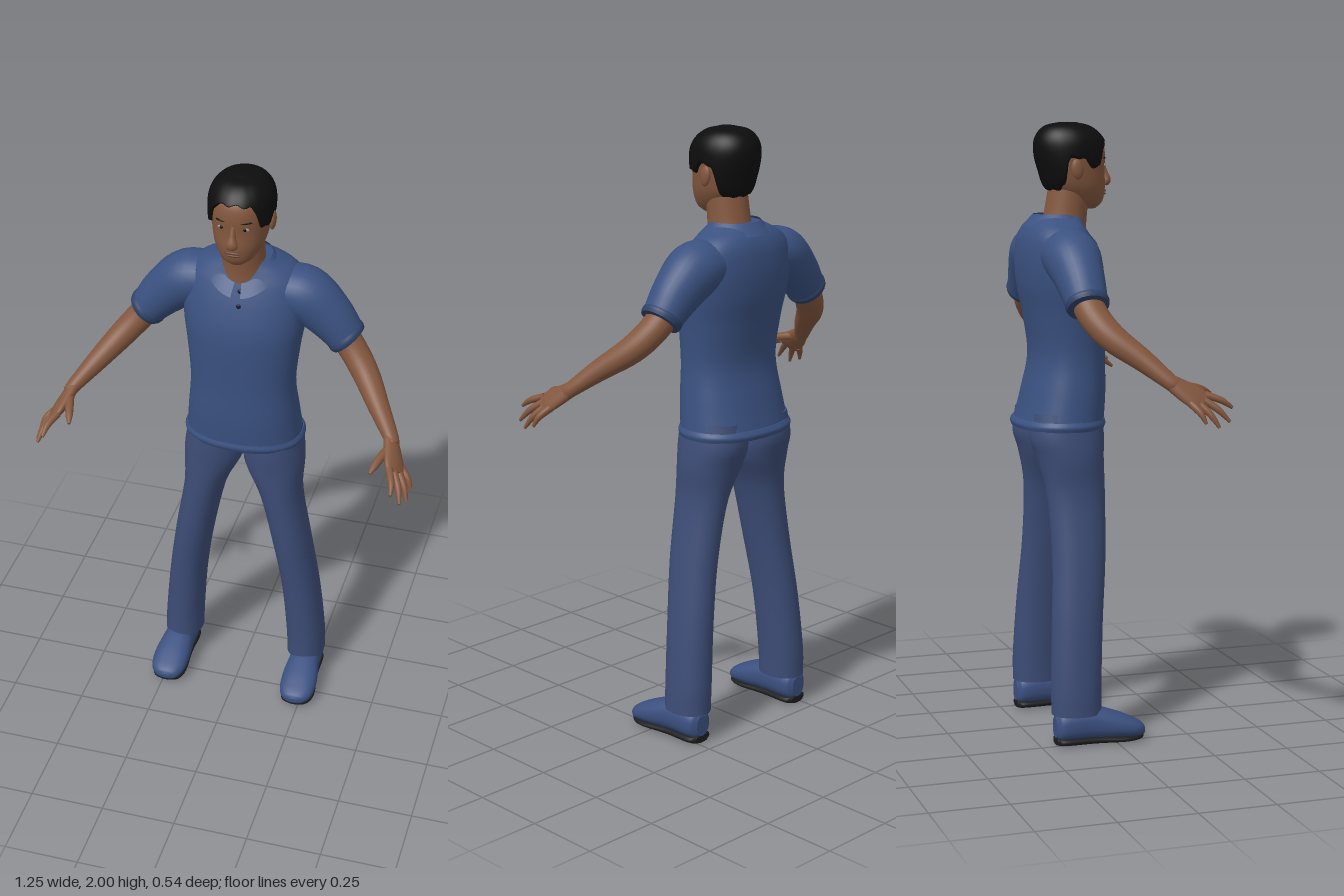
import * as THREE from 'three';

const V = (x, y, z) => new THREE.Vector3(x, y, z);
const UP = V(0, 1, 0), SIDE = V(1, 0, 0);

const makeMaterials = () => {
  const make = (name, color, side = THREE.FrontSide) => {
    const m = new THREE.MeshStandardMaterial({ color, side });
    m.name = name;
    return m;
  };
  return {
    shirt: make('shirt blue', 0x3a5180, THREE.DoubleSide),
    trim: make('trim navy', 0x2f4369),
    trousers: make('trouser blue', 0x3d4d77),
    shoe: make('shoe blue', 0x3b5080),
    sole: make('sole dark', 0x1c1d20),
    skin: make('skin brown', 0x83573e),
    lip: make('lip brown', 0x68402f),
    hair: make('hair black', 0x0d0d0d, THREE.DoubleSide),
    eye: make('eye grey', 0x9a938c),
  };
};

// Grid of rows around a section; fn(angle, t) gives each point
function surface(fn, nu, nv, closed = true, caps = false) {
  const pos = [], idx = [];
  const cols = closed ? nu : nu + 1;
  const rows = [];
  for (let i = 0; i <= nv; i++) {
    const row = [];
    for (let j = 0; j < cols; j++) row.push(fn((j / nu) * Math.PI * 2, i / nv));
    rows.push(row);
    row.forEach(p => pos.push(p.x, p.y, p.z));
  }
  for (let i = 0; i < nv; i++) for (let j = 0; j < nu; j++) {
    const k = (j + 1) % cols;
    const a = i * cols + j, b = i * cols + k, c = a + cols, d = b + cols;
    idx.push(a, b, c, b, d, c);
  }
  if (caps) [0, nv].forEach(i => {
    const start = pos.length / 3, mid = V(0, 0, 0);
    rows[i].forEach(p => { pos.push(p.x, p.y, p.z); mid.addScaledVector(p, 1 / cols); });
    pos.push(mid.x, mid.y, mid.z);
    for (let j = 0; j < cols; j++) {
      const a = start + j, b = start + (j + 1) % cols;
      if (i === 0) idx.push(b, a, start + cols); else idx.push(a, b, start + cols);
    }
  });
  const g = new THREE.BufferGeometry();
  g.setAttribute('position', new THREE.Float32BufferAttribute(pos, 3));
  g.setIndex(idx);
  g.computeVertexNormals();
  return g;
}

// Smoothly resample stations [x, y, z, radiusU, radiusV]
function sample(stations, n = (stations.length - 1) * 5) {
  const path = new THREE.CatmullRomCurve3(stations.map(s => V(s[0], s[1], s[2])), false, 'catmullrom');
  const size = new THREE.CatmullRomCurve3(stations.map(s => V(s[3], s[4], 0)), false, 'catmullrom');
  return Array.from({ length: n + 1 }, (_, i) => {
    const r = size.getPoint(i / n);
    return { p: path.getPoint(i / n), t: path.getTangent(i / n), ru: r.x, rv: r.y };
  });
}

// Skin elliptical sections along the stations; a fixed axis keeps sections parallel
function loft(stations, { axis, ref = SIDE, power = 1, segs = 28 } = {}) {
  const rings = sample(stations), n = rings.length - 1;
  const bend = c => Math.sign(c) * Math.abs(c) ** power;
  return surface((a, t) => {
    const r = rings[Math.round(t * n)], T = axis || r.t;
    const u = ref.clone().addScaledVector(T, -ref.dot(T)).normalize();
    const v = T.clone().cross(u);
    return r.p.clone().addScaledVector(u, r.ru * bend(Math.cos(a))).addScaledVector(v, r.rv * bend(Math.sin(a)));
  }, segs, n, true, true);
}

// Section of a sampled upright body at height y
function sectionAt(rings, y) {
  let i = 1;
  while (i < rings.length - 1 && rings[i].p.y < y) i++;
  const a = rings[i - 1], b = rings[i];
  const k = THREE.MathUtils.clamp((y - a.p.y) / (b.p.y - a.p.y), 0, 1), mix = THREE.MathUtils.lerp;
  return { z: mix(a.p.z, b.p.z, k), rx: mix(a.ru, b.ru, k), rz: mix(a.rv, b.rv, k) };
}
function frontZ(rings, x, y) {
  const s = sectionAt(rings, y);
  return s.z + s.rz * Math.sqrt(Math.max(0, 1 - (x / s.rx) ** 2));
}

const TORSO = [[0, 1.02, -.118, .196, .14], [0, 1.13, -.1, .185, .13], [0, 1.25, -.088, .174, .118],
  [0, 1.38, -.094, .185, .128], [0, 1.47, -.105, .198, .135], [0, 1.55, -.118, .203, .128],
  [0, 1.62, -.128, .193, .112], [0, 1.66, -.13, .16, .096], [0, 1.685, -.125, .115, .082], [0, 1.7, -.115, .085, .068]];
const HEAD = [[0, 1.722, -.008, .022, .02], [0, 1.745, -.028, .055, .062], [0, 1.79, -.052, .08, .094],
  [0, 1.84, -.063, .09, .103], [0, 1.89, -.069, .094, .111], [0, 1.93, -.073, .092, .108],
  [0, 1.96, -.077, .078, .09], [0, 1.98, -.08, .052, .06], [0, 1.988, -.08, .012, .015]];
// Hairline height against angle from the face, in degrees
const HAIRLINE = [[0, 1.94], [32, 1.935], [45, 1.905], [55, 1.855], [72, 1.85], [82, 1.885], [108, 1.88], [122, 1.8], [140, 1.775], [180, 1.77]];

function hairline(deg) {
  const i = Math.max(1, HAIRLINE.findIndex(h => h[0] >= deg));
  const [a, b] = [HAIRLINE[i - 1], HAIRLINE[i]];
  return THREE.MathUtils.lerp(a[1], b[1], (deg - a[0]) / (b[0] - a[0]));
}

export function createModel() {
  const mat = makeMaterials(), model = new THREE.Group();
  model.name = 'standingMan';
  const add = (name, geometry, material, parent = model) => {
    const m = new THREE.Mesh(geometry, material);
    m.name = name;
    parent.add(m);
    return m;
  };
  const blob = (name, material, p, s) => {
    const m = add(name, new THREE.SphereGeometry(1, 16, 12), material);
    m.position.set(...p);
    m.scale.set(...s);
    return m;
  };
  const torso = sample(TORSO, 80), head = sample(HEAD, 80);

  // Shirt body, hem and collar
  add('shirtBody', loft(TORSO, { axis: UP, power: .88, segs: 48 }), mat.shirt);
  add('shirtHem', loft([[0, 1.015, -.119, .199, .142], [0, 1.03, -.118, .203, .147], [0, 1.045, -.115, .196, .141]],
    { axis: UP, power: .88, segs: 48 }), mat.shirt);
  add('collar', surface((a, t) => {
    const th = .13 + a * (1 - .13 / Math.PI), f = Math.max(0, Math.cos(th));
    const r = THREE.MathUtils.lerp(.122, .088, t);
    const y = THREE.MathUtils.lerp(1.668, 1.706, t) - .068 * f ** 1.5;
    return V(r * Math.sin(th), y, -.108 + r * Math.cos(th));
  }, 48, 4, false), mat.shirt);

  // Placket and buttons
  add('placket', surface((a, t) => {
    const x = -.016 + a / (Math.PI * 2) * .04, y = 1.53 + t * .09;
    return V(x, y, frontZ(torso, x, y) + .004);
  }, 3, 8, false), mat.shirt);
  [1.615, 1.57].forEach(y => blob('button', mat.sole, [.01, y, frontZ(torso, .01, y) + .006], [.008, .008, .004]));

  // Neck, head, ears, nose and mouth
  add('neck', loft([[0, 1.6, -.1, .09, .08], [0, 1.65, -.098, .078, .076], [0, 1.7, -.09, .07, .071], [0, 1.8, -.075, .068, .068]],
    { axis: UP }), mat.skin);
  add('head', loft(HEAD, { axis: UP, power: .95, segs: 36 }), mat.skin);
  add('nose', loft([[0, 1.872, .034, .007, .008], [0, 1.838, .043, .011, .012], [0, 1.812, .05, .019, .015], [0, 1.801, .043, .014, .01]]), mat.skin);
  [1.779, 1.77].forEach(y => blob('lip', mat.lip, [0, y, frontZ(head, 0, y) - .001], [.026, .005, .006]));
  for (const s of [1, -1]) {
    const spot = (x, y, d) => [s * x, y, frontZ(head, x, y) + d];
    blob('ear', mat.skin, [s * .096, 1.85, -.078], [.011, .033, .02]).rotation.x = -.15;
    blob('eye', mat.eye, spot(.037, 1.863, -.001), [.014, .006, .004]);
    blob('iris', mat.hair, spot(.037, 1.863, .001), [.006, .006, .004]);
    blob('eyebrow', mat.hair, spot(.039, 1.885, -.002), [.021, .0035, .005]).rotation.y = s * .35;
  }

  // Hair cap with a low nape and sideburns
  add('hair', surface((a, t) => {
    const deg = Math.min(a, Math.PI * 2 - a) * 180 / Math.PI;
    const rim = hairline(deg) + .004 * Math.sin(a * 13);
    const y = rim + (1.988 - rim) * Math.sin(t * Math.PI / 2);
    const s = sectionAt(head, y), off = t === 0 ? -.004 : .012, k = t === 1 ? 0 : 1;
    return V(k * (s.rx + off) * Math.sin(a), y + .012 * t, s.z + k * (s.rz + off) * Math.cos(a));
  }, 72, 24), mat.hair);

  for (const s of [1, -1]) {
    const side = s > 0 ? 'left' : 'right';
    const limb = (name, stations, material, options) =>
      add(side + name, loft(stations.map(([x, ...rest]) => [s * x, ...rest]), options), material);

    // Sleeve and forearm
    const back = { ref: V(0, 0, 1) };
    limb('Sleeve', [[.1, 1.585, -.128, .085, .07], [.19, 1.572, -.127, .092, .09], [.27, 1.508, -.125, .078, .08],
      [.335, 1.434, -.122, .066, .062]], mat.shirt, back);
    limb('Cuff', [[.322, 1.449, -.122, .068, .064], [.331, 1.439, -.122, .071, .067], [.34, 1.429, -.122, .067, .063]], mat.trim, back);
    limb('Arm', [[.29, 1.48, -.123, .05, .05], [.35, 1.41, -.112, .05, .046], [.41, 1.343, -.07, .046, .043],
      [.475, 1.275, .01, .036, .034], [.53, 1.215, .075, .027, .024], [.54, 1.2, .095, .027, .022]], mat.skin, back);

    // Hand: palm, four fingers and thumb
    const spread = V(.045, -.04, -.1).normalize();
    const across = V(s * spread.x, spread.y, spread.z);
    limb('Palm', [[.525, 1.222, .065, .022, .02], [.543, 1.192, .108, .035, .02], [.56, 1.165, .15, .043, .018],
      [.57, 1.15, .175, .04, .012]], mat.skin, { ref: across });
    const tips = [[.575, 1.13, .268], [.602, 1.09, .25], [.617, 1.075, .21], [.62, 1.09, .165]];
    tips.forEach((tip, i) => {
      const base = V(.563, 1.16, .158).addScaledVector(spread, -.032 + i * .0215);
      const mid = base.clone().lerp(V(...tip), .55).add(V(.005, .005, .002));
      limb('Finger' + (i + 1), [[...base.toArray(), .012, .013], [...mid.toArray(), .0105, .011], [...tip, .005, .005]],
        mat.skin, { ref: across, segs: 12 });
    });
    limb('Thumb', [[.54, 1.2, .1, .016, .018], [.518, 1.19, .16, .014, .014], [.507, 1.18, .195, .012, .012], [.497, 1.168, .225, .005, .005]],
      mat.skin, { ref: UP, segs: 12 });

    // Trouser leg
    limb('TrouserLeg', [[.226, .1, -.125, .066, .082], [.222, .2, -.125, .066, .083], [.203, .4, -.115, .064, .084],
      [.172, .6, -.1, .065, .088], [.133, .8, -.097, .071, .096], [.106, .92, -.108, .1, .11],
      [.1, .99, -.117, .1, .122], [.096, 1.07, -.115, .09, .115]], mat.trousers, { axis: UP, power: .94 });

    // Shoe and sole
    const along = { axis: V(0, 0, 1), power: .85 };
    limb('Shoe', [[.232, .06, -.2, .025, .035], [.232, .064, -.175, .048, .05], [.233, .068, -.08, .053, .054],
      [.236, .056, 0, .062, .043], [.237, .043, .06, .059, .03], [.236, .035, .092, .04, .02], [.235, .033, .102, .014, .008]], mat.shoe, along);
    limb('Sole', [[.232, .014, -.198, .028, .013], [.232, .015, -.175, .048, .015], [.234, .015, -.07, .049, .015],
      [.237, .013, .03, .059, .013], [.236, .015, .08, .046, .011], [.235, .02, .097, .02, .008]], mat.sole, along);
  }
  return model;
}
